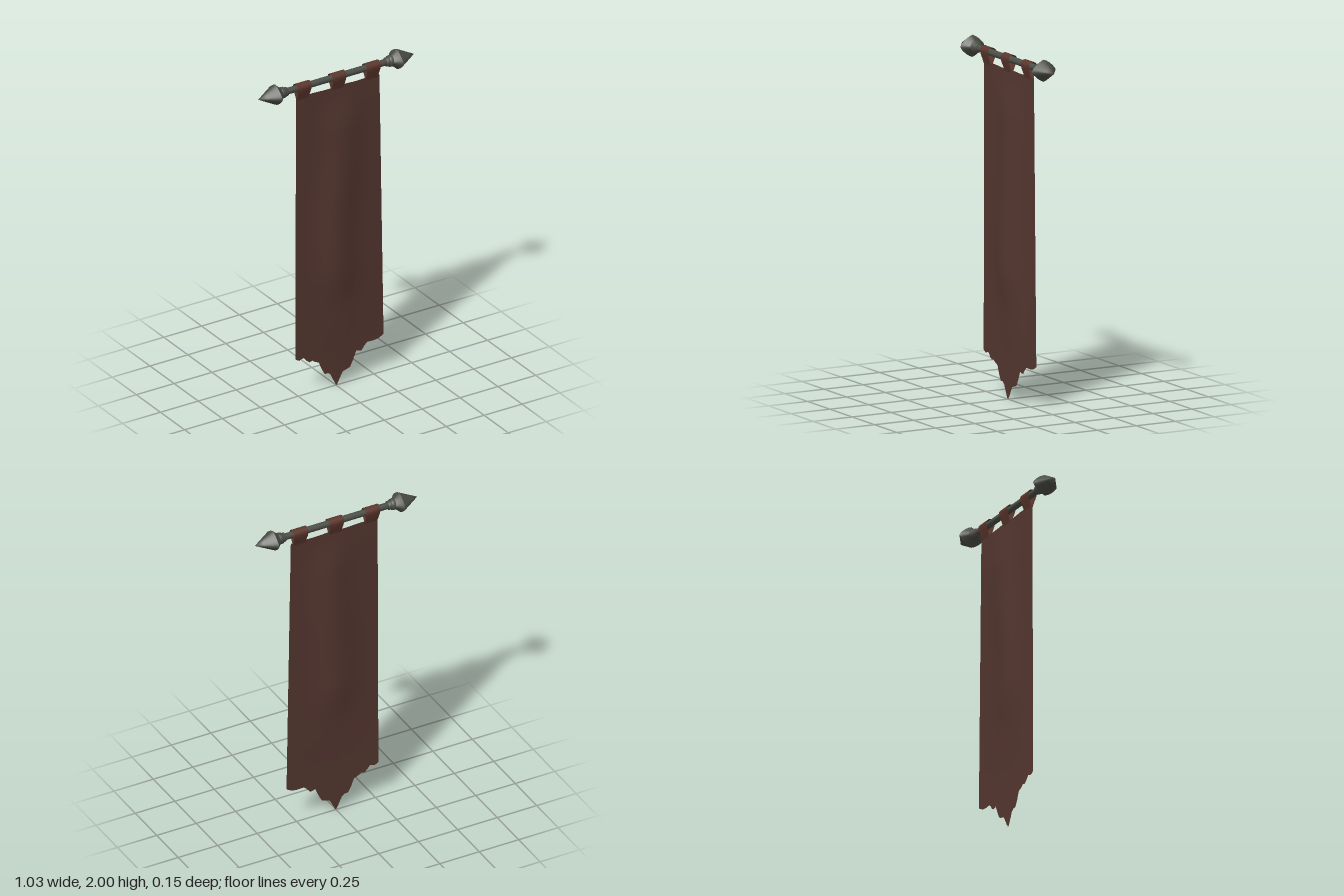
import * as THREE from 'three';
import { mergeVertices } from 'three/addons/utils/BufferGeometryUtils.js';

const ROD_Y = 1.937;

// Interpolates a table of [key, value] rows with ascending keys
function sample(table, k, smooth) {
  if (k <= table[0][0]) return table[0][1];
  for (let i = 1; i < table.length; i++) {
    const [a, va] = table[i - 1], [b, vb] = table[i];
    if (k <= b) {
      const t = (k - a) / (b - a);
      return va + (vb - va) * (smooth ? t * t * (3 - 2 * t) : t);
    }
  }
  return table[table.length - 1][1];
}

// Grid whose vertices are placed by a rule (column, row) => [x, y, z]
function sheet(cols, rows, rule) {
  const geo = new THREE.PlaneGeometry(1, 1, cols, rows);
  const pos = geo.attributes.position;
  for (let i = 0; i < pos.count; i++) {
    pos.setXYZ(i, ...rule(i % (cols + 1), Math.floor(i / (cols + 1))));
  }
  geo.computeVertexNormals();
  return geo;
}

// Torn lower edge of the cloth, from x- to x+
const HEM = [
  [-0.267, 0.235], [-0.245, 0.222], [-0.215, 0.232], [-0.195, 0.208], [-0.175, 0.192],
  [-0.16, 0.2], [-0.14, 0.186], [-0.112, 0.174], [-0.095, 0.13], [-0.075, 0.092],
  [-0.055, 0.092], [-0.035, 0.077], [-0.018, 0.04], [0.002, 0], [0.022, 0.04],
  [0.042, 0.076], [0.068, 0.084], [0.09, 0.09], [0.11, 0.13], [0.132, 0.182],
  [0.165, 0.172], [0.185, 0.198], [0.205, 0.216], [0.245, 0.214], [0.28, 0.218], [0.312, 0.236],
];
// Swell of each cloth layer by height
const FRONT_SWELL = [[0.2, 0.001], [0.45, 0.008], [0.75, 0.033], [1.15, 0.031], [1.6, 0.025], [1.875, 0]];
const BACK_SWELL = [[0.4, 0], [0.55, 0.004], [0.85, 0.023], [1.3, 0.028], [1.6, 0.023], [1.875, 0]];

function clothLayer(side, swell) {
  const cols = HEM.length - 1, rows = 32;
  return sheet(cols, rows, (c, r) => {
    const [hx, hy] = HEM[side > 0 ? c : cols - c];
    const t = r / rows;
    const topX = -0.262 + (hx - HEM[0][0]) * (0.547 / 0.579);
    const x = topX + (hx - topX) * t;
    const topY = 1.874 + 0.002 * Math.sin(hx * 30);
    const y = topY + (hy - topY) * t;
    const fold = (x - 0.015 - 0.02 * Math.sin(y * 5)) / 0.12;
    return [x, y, side * (0.003 + sample(swell, y, true) * Math.exp(-fold * fold))];
  });
}

// Hanging loop: runs from the back of the cloth over the rod to the front
function strapGeometry() {
  const path = [[-0.005, 1.862], [-0.014, 1.89], [-0.023, 1.917]];
  for (let i = 0; i <= 10; i++) {
    const a = Math.PI - (i / 10) * Math.PI;
    path.push([0.027 * Math.cos(a), ROD_Y + 0.028 * Math.sin(a)]);
  }
  path.push([0.023, 1.917], [0.014, 1.89], [0.006, 1.862]);
  return sheet(2, path.length - 1, (c, r) => {
    const [z, y] = path[r];
    const half = 0.037 + 0.009 * Math.min(1, (y - 1.862) / 0.08);
    return [(c - 1) * half, y, z];
  });
}

// Lathe along +x, optionally squeezed to a rounded diamond section
function turned(profile, diamond) {
  let geo = new THREE.LatheGeometry(profile.map(([x, r]) => new THREE.Vector2(r, x)), 24);
  geo.deleteAttribute('uv');
  if (diamond) {
    const pos = geo.attributes.position, p = 1.3;
    for (let i = 0; i < pos.count; i++) {
      const x = pos.getX(i), z = pos.getZ(i), r = Math.hypot(x, z);
      if (r < 1e-6) continue;
      const k = 1 / Math.pow(Math.pow(Math.abs(x / r), p) + Math.pow(Math.abs(z / r), p), 1 / p);
      pos.setX(i, x * k * 0.82);
      pos.setZ(i, z * k);
    }
  }
  geo.deleteAttribute('normal');
  geo = mergeVertices(geo, 1e-5);
  geo.computeVertexNormals();
  geo.rotateZ(-Math.PI / 2);
  return geo;
}

export function createModel() {
  const cloth = new THREE.MeshStandardMaterial({ color: 0x54362f, side: THREE.DoubleSide });
  cloth.name = 'brown cloth';
  const strapMat = new THREE.MeshStandardMaterial({ color: 0x5c372d, side: THREE.DoubleSide });
  strapMat.name = 'russet strap';
  const iron = new THREE.MeshStandardMaterial({ color: 0x4c4e47 });
  iron.name = 'dark iron';

  const model = new THREE.Group();
  model.name = 'hangingBanner';
  const add = (name, geo, mat, parent = model) => {
    const mesh = new THREE.Mesh(geo, mat);
    mesh.name = name;
    parent.add(mesh);
    return mesh;
  };

  // Cloth
  add('clothFront', clothLayer(1, FRONT_SWELL), cloth);
  add('clothBack', clothLayer(-1, BACK_SWELL), cloth);

  // Straps
  const strap = strapGeometry();
  [['rightStrap', -0.222], ['middleStrap', 0.008], ['leftStrap', 0.234]].forEach(([name, x]) => {
    add(name, strap, strapMat).position.x = x;
  });

  // Rod
  const rod = add('rod', new THREE.CylinderGeometry(0.019, 0.019, 0.7, 20), iron);
  rod.rotation.z = Math.PI / 2;
  rod.position.y = ROD_Y;

  // Pointed finials with stepped collars
  const parts = [
    ['collarRing', turned([[0.325, 0.018], [0.327, 0.026], [0.345, 0.027]])],
    ['collar', turned([[0.343, 0.024], [0.346, 0.032], [0.362, 0.034], [0.367, 0.03]])],
    ['finialBase', turned([[0.358, 0.03], [0.372, 0.044], [0.388, 0.061], [0.4, 0.077]], true)],
    ['finialPoint', turned([[0.4, 0.077], [0.43, 0.057], [0.47, 0.03], [0.514, 0]], true)],
  ];
  for (const [name, turn] of [['leftFinial', 0], ['rightFinial', Math.PI]]) {
    const finial = new THREE.Group();
    finial.name = name;
    finial.position.y = ROD_Y;
    finial.rotation.y = turn;
    parts.forEach(([part, geo]) => add(part, geo, iron, finial));
    model.add(finial);
  }
  return model;
}
